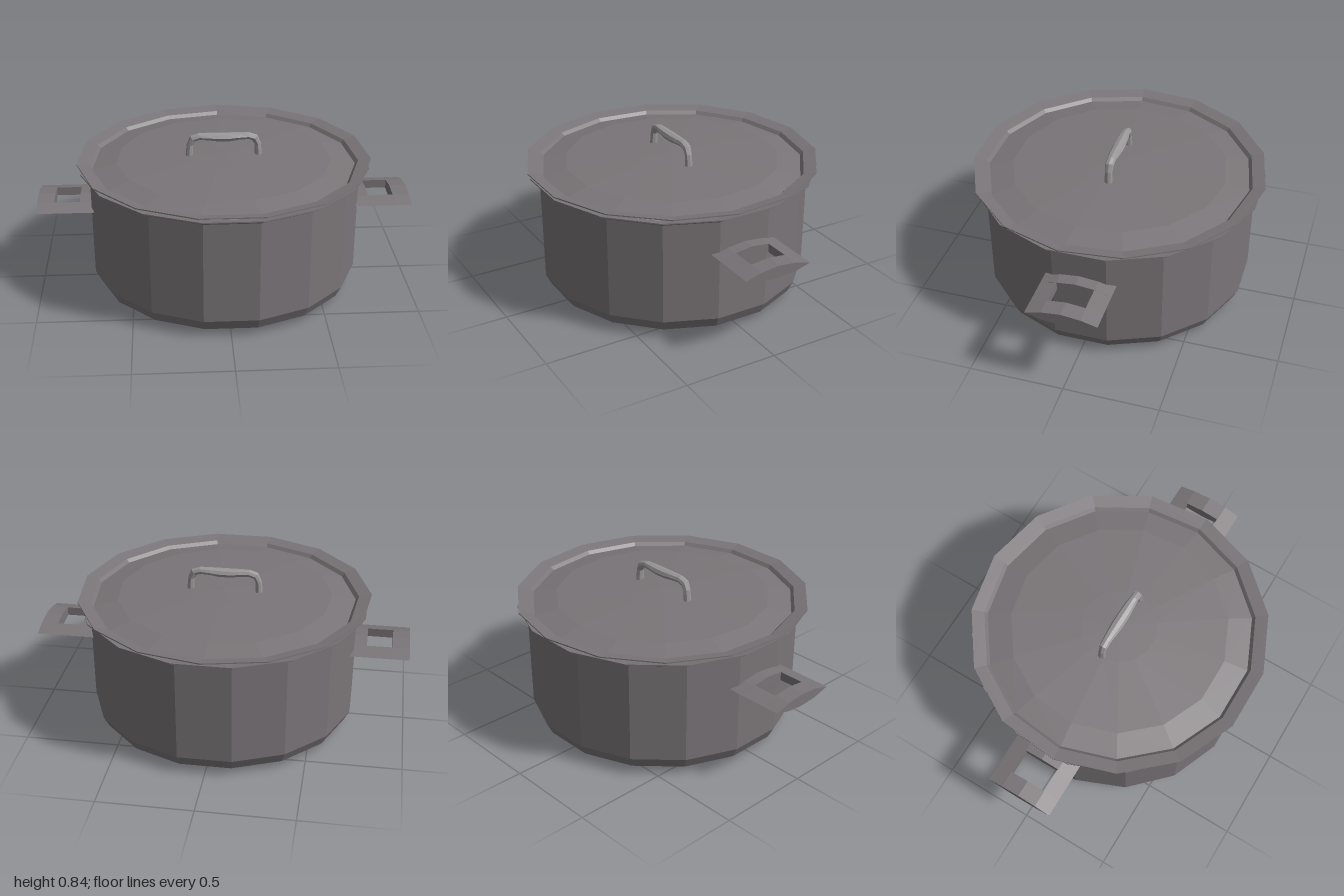
import * as THREE from 'three';

const steel = new THREE.MeshStandardMaterial({ color: 0x7a7578, flatShading: true, side: THREE.DoubleSide });
const polished = new THREE.MeshStandardMaterial({ color: 0x9a9798, flatShading: true });
const v2 = ([x, y]) => new THREE.Vector2(x, y);

function part(name, geometry, material = steel) {
  const mesh = new THREE.Mesh(geometry, material);
  mesh.name = name;
  return mesh;
}

// Faceted turned part from [radius, height] points
function turned(name, points, sides, start) {
  return part(name, new THREE.LatheGeometry(points.map(v2), sides, start));
}

// Prism along x from x0 to x1 with a [z, y] cross-section
function prism(name, section, x0, x1) {
  const g = new THREE.ExtrudeGeometry(new THREE.Shape(section.map(v2)), { depth: x1 - x0, bevelEnabled: false });
  g.rotateY(Math.PI / 2).translate(x0, 0, 0);
  return part(name, g);
}

// Lens-shaped side handle with a square opening
function sideHandle(name) {
  const lens = [[-0.185, 0.47], [-0.1, 0.447], [0, 0.438], [0.1, 0.447], [0.185, 0.47], [0.1, 0.493], [0, 0.504], [-0.1, 0.493]];
  const group = new THREE.Group();
  group.name = name;
  group.add(prism('handleRoot', lens, 0.68, 0.775), prism('handleGrip', lens, 0.91, 1));
  for (const s of [-1, 1]) {
    const bar = [[0.185, 0.47], [0.097, 0.493], [0.097, 0.447]].map(([z, y]) => [s * z, y]);
    group.add(prism('handleBar', bar, 0.775, 0.91));
  }
  group.position.z = -0.004;
  return group;
}

// Bent lid handle: oval rings [x, y, in-plane radius, depth radius] along an arch
function lidHandle() {
  const half = [
    [-0.187, 0.69, 0.02, 0.023], [-0.181, 0.775, 0.017, 0.02], [-0.165, 0.808, 0.021, 0.023],
    [-0.132, 0.819, 0.019, 0.023], [-0.08, 0.818, 0.02, 0.028], [-0.03, 0.814, 0.024, 0.031],
  ];
  const rings = [...half, ...half.slice().reverse().map(([x, ...r]) => [-x, ...r])];
  const sides = 8, pos = [], index = [];
  rings.forEach(([x, y, a, b], i) => {
    const p = rings[Math.max(i - 1, 0)], q = rings[Math.min(i + 1, rings.length - 1)];
    const t = new THREE.Vector2(q[0] - p[0], q[1] - p[1]).normalize();
    for (let j = 0; j < sides; j++) {
      const w = (j / sides) * Math.PI * 2, n = a * Math.cos(w);
      pos.push(x - t.y * n, y + t.x * n, b * Math.sin(w));
      if (i === rings.length - 1) continue;
      const k = i * sides, m = (j + 1) % sides;
      index.push(k + j, k + m, k + sides + m, k + j, k + sides + m, k + sides + j);
    }
  });
  const g = new THREE.BufferGeometry();
  g.setAttribute('position', new THREE.Float32BufferAttribute(pos, 3));
  g.setIndex(index);
  g.computeVertexNormals();
  const mesh = part('lidHandle', g, polished);
  mesh.position.z = 0.006;
  return mesh;
}

export function createModel() {
  const model = new THREE.Group();
  model.name = 'cookingPot';

  // Pot with rounded foot, flared rim and hollow inside
  model.add(turned('potBody', [
    [0, 0], [0.612, 0], [0.69, 0.04], [0.72, 0.1], [0.724, 0.645], [0.735, 0.662], [0.775, 0.674],
    [0.775, 0.68], [0.72, 0.668], [0.705, 0.64], [0.7, 0.1], [0.6, 0.02], [0, 0.02],
  ], 16, Math.PI / 16));

  // Domed lid with a sunken seat inside its raised rim
  model.add(turned('lid', [
    [0, 0.66], [0.69, 0.66], [0.715, 0.682], [0.785, 0.7], [0.785, 0.706], [0.718, 0.692],
    [0.702, 0.674], [0.575, 0.698], [0.2, 0.715], [0, 0.72],
  ], 15, Math.PI));
  model.add(lidHandle());

  const right = sideHandle('rightHandle');
  right.rotation.y = Math.PI;
  model.add(sideHandle('leftHandle'), right);
  return model;
}
